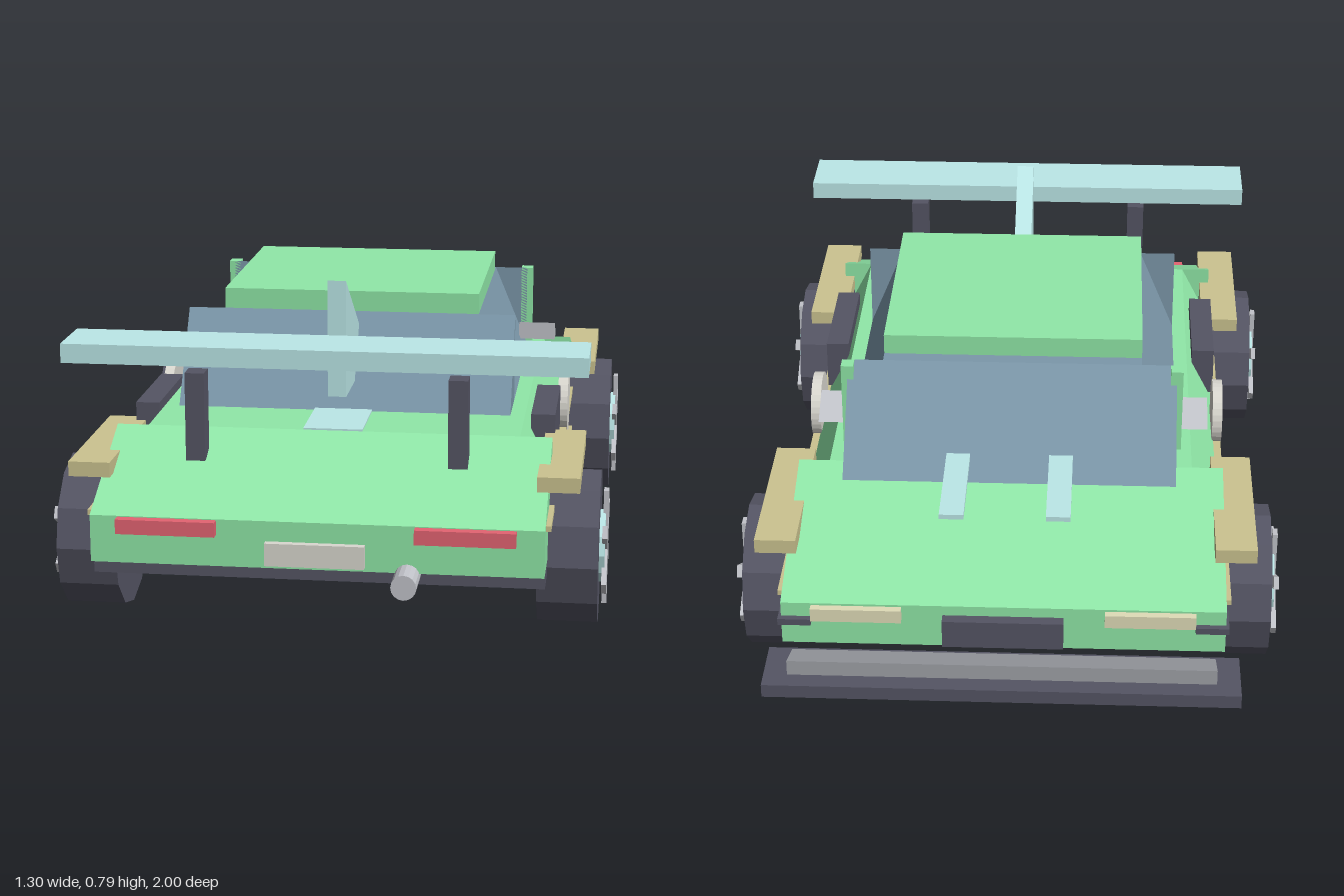
import * as THREE from 'three';

const mat = (color) => new THREE.MeshStandardMaterial({ color, flatShading: true });

export function createModel() {
  const root = new THREE.Group();
  const green = mat(0x90e8a8), dark = mat(0x555564), glass = mat(0x7c98aa), cyan = mat(0xbce8e8);
  const tan = mat(0xccc490), red = mat(0xe46472), grey = mat(0xc2c4ca), cream = mat(0xdad8d0);
  const steel = mat(0xa0a2a8), lamp = mat(0xe0dcb8);

  const add = (name, geo, material, parent = root) => {
    const mesh = new THREE.Mesh(geo, material);
    mesh.name = name;
    parent.add(mesh);
    return mesh;
  };
  // Box given by its limits on each axis
  const box = (name, m, x0, x1, y0, y1, z0, z1) => {
    const g = new THREE.BoxGeometry(x1 - x0, y1 - y0, z1 - z0);
    g.translate((x0 + x1) / 2, (y0 + y1) / 2, (z0 + z1) / 2);
    return add(name, g, m);
  };
  const boxPair = (name, m, x0, x1, ...rest) => {
    box(name + 'Left', m, x0, x1, ...rest);
    box(name + 'Right', m, -x1, -x0, ...rest);
  };
  const extrude = (pts, depth) => new THREE.ExtrudeGeometry(
    new THREE.Shape(pts.map(([u, v]) => new THREE.Vector2(u, v))), { depth, bevelEnabled: false });
  // Side profile of [z, y] points, extruded from x0 to x1
  const sideProfile = (name, m, pts, x0, x1) => {
    const g = extrude(pts.map(([z, y]) => [-z, y]), x1 - x0);
    g.rotateY(Math.PI / 2).translate(x0, 0, 0);
    return add(name, g, m);
  };
  // Cross-section of [x, y] points, extruded from z0 to z1
  const crossSection = (name, m, pts, z0, z1) =>
    add(name, extrude(pts, z1 - z0).translate(0, 0, z0), m);

  // Chassis and body
  box('chassis', dark, -0.515, 0.515, 0.165, 0.2, -0.82, 0.89);
  box('lowerBody', green, -0.515, 0.515, 0.2, 0.31, -0.87, 0.92);
  crossSection('upperBody', green,
    [[-0.51, 0.31], [0.51, 0.31], [0.44, 0.445], [-0.44, 0.445]], -0.455, 0.62);
  sideProfile('hood', green, [[-0.87, 0.31], [-0.455, 0.31], [-0.455, 0.445]], -0.515, 0.515);
  sideProfile('rearDeck', green, [[0.92, 0.31], [0.62, 0.31], [0.62, 0.445]], -0.515, 0.515);

  // Cabin
  crossSection('sideWindows', glass,
    [[-0.405, 0.445], [0.405, 0.445], [0.315, 0.66], [-0.315, 0.66]], -0.335, 0.28);
  sideProfile('windshield', glass, [[-0.545, 0.445], [-0.335, 0.445], [-0.335, 0.66]], -0.4, 0.4);
  sideProfile('rearWindow', glass, [[0.43, 0.445], [0.28, 0.445], [0.28, 0.66]], -0.405, 0.405);
  box('roof', green, -0.315, 0.315, 0.66, 0.71, -0.3, 0.278);
  boxPair('pillar', green, 0.385, 0.415, 0.44, 0.66, -0.37, -0.335);

  // Rear wing, fin and deck panel
  box('wing', cyan, -0.6, 0.6, 0.635, 0.68, 0.648, 0.81);
  boxPair('wingSupport', dark, 0.282, 0.327, 0.395, 0.603, 0.69, 0.742);
  sideProfile('fin', cyan, [[0.545, 0.508], [0.545, 0.788], [0.28, 0.62], [0.28, 0.508]], -0.022, 0.022);
  box('deckPanel', cyan, -0.07, 0.07, 0.44, 0.449, 0.42, 0.62);
  boxPair('hoodBlade', cyan, 0.095, 0.152, 0.484, 0.496, -0.77, -0.42);

  // Side trim
  boxPair('sideTrim', tan, 0.5, 0.527, 0.3, 0.313, -0.825, 0.89);
  boxPair('sill', tan, 0.48, 0.53, 0.175, 0.222, -0.34, 0.41);
  boxPair('doorGapFront', dark, 0.5, 0.519, 0.22, 0.3, -0.16, -0.15);
  boxPair('doorGapRear', dark, 0.5, 0.519, 0.22, 0.3, 0.18, 0.19);
  boxPair('doorHandle', grey, 0.51, 0.53, 0.276, 0.295, 0.05, 0.13);
  boxPair('sideIntake', dark, 0.455, 0.513, 0.325, 0.45, 0.13, 0.43);
  boxPair('frontFender', tan, 0.49, 0.587, 0.37, 0.405, -0.755, -0.335);
  boxPair('rearFender', tan, 0.49, 0.587, 0.37, 0.405, 0.395, 0.82);

  for (const s of [-1, 1]) {
    const side = s > 0 ? 'Left' : 'Right';
    // Mirrors and round door plates
    const x = s > 0 ? 0.385 : -0.48;
    sideProfile('mirror' + side, grey, [[-0.255, 0.482], [-0.255, 0.527], [-0.335, 0.482]], x, x + 0.095);
    add('doorPlate' + side, new THREE.CylinderGeometry(0.083, 0.083, 0.025, 32).rotateZ(Math.PI / 2), cream)
      .position.set(s * 0.516, 0.365, -0.04);

    // Wheels: tyre, hub and three crossed bars
    for (const [end, z] of [['front', -0.54], ['rear', 0.605]]) {
      const wheel = new THREE.Group();
      wheel.name = end + 'Wheel' + side;
      wheel.position.set(s * 0.56, 0.183, z);
      root.add(wheel);
      add('tyre', new THREE.CylinderGeometry(0.183, 0.183, 0.14, 12).rotateZ(Math.PI / 2), dark, wheel);
      add('hub', new THREE.CylinderGeometry(0.087, 0.087, 0.02, 12).rotateZ(Math.PI / 2), cyan, wheel)
        .position.x = s * 0.073;
      for (let i = 0; i < 3; i++) {
        const bar = add('spoke', new THREE.BoxGeometry(0.012, 0.275, 0.03), grey, wheel);
        bar.position.x = s * 0.083;
        bar.rotation.x = i * Math.PI / 3;
      }
    }
  }

  // Tail end
  boxPair('tailLight', red, 0.225, 0.452, 0.274, 0.308, 0.91, 0.943);
  box('rearPlate', cream, -0.113, 0.113, 0.21, 0.263, 0.915, 0.938);
  add('exhaust', new THREE.CylinderGeometry(0.029, 0.029, 0.12, 16).rotateX(Math.PI / 2), grey)
    .position.set(0.208, 0.192, 0.94);

  // Nose
  boxPair('headlight', lamp, 0.235, 0.445, 0.272, 0.305, -0.888, -0.86);
  box('noseGrille', dark, -0.14, 0.14, 0.215, 0.285, -0.897, -0.86);
  boxPair('cornerBumper', dark, 0.445, 0.522, 0.258, 0.274, -0.885, -0.81);
  box('splitter', dark, -0.55, 0.55, 0.137, 0.17, -1, -0.852);
  sideProfile('splitterRamp', steel, [[-0.852, 0.168], [-0.957, 0.168], [-0.957, 0.208]], -0.495, 0.495);

  return root;
}
